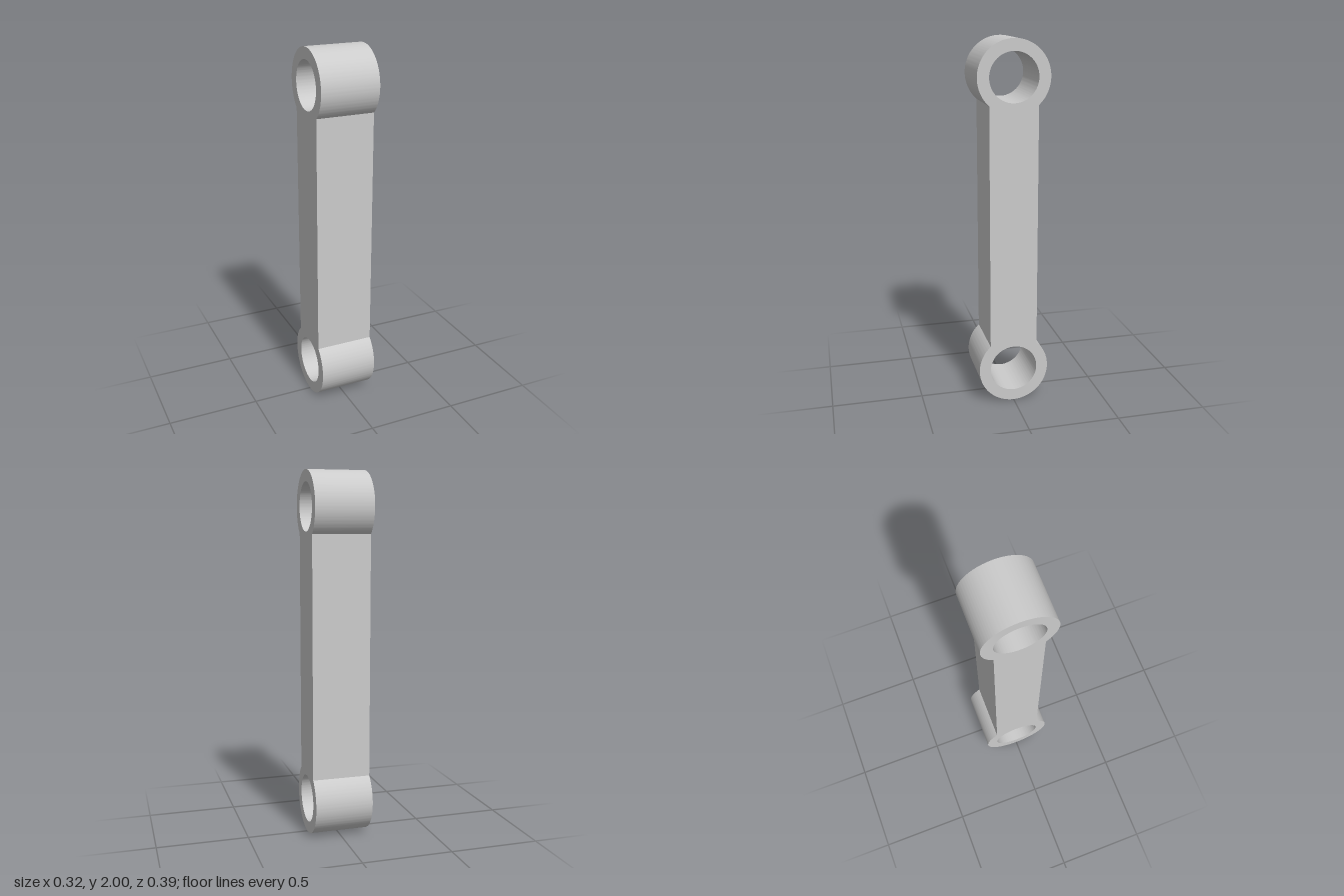
import * as THREE from 'three';
import { toCreasedNormals } from 'three/addons/utils/BufferGeometryUtils.js';

const EYE_R = 0.194;   // outer radius of each eye
const BORE_R = 0.131;  // radius of each bore
const BAR_HALF = 0.131; // half depth of the bar
const WIDTH = 0.322;
const LOW_Y = EYE_R;
const HIGH_Y = 2 - EYE_R;

export function createModel() {
  const group = new THREE.Group();
  group.name = 'connectingLink';

  // Side outline: two round eyes joined by a straight bar
  const a = Math.acos(BAR_HALF / EYE_R);
  const outline = new THREE.Shape();
  outline.absarc(0, LOW_Y, EYE_R, Math.PI - a, 2 * Math.PI + a, false);
  outline.absarc(0, HIGH_Y, EYE_R, -a, Math.PI + a, false);
  outline.closePath();

  // Through bores
  for (const y of [LOW_Y, HIGH_Y]) {
    const bore = new THREE.Path();
    bore.absarc(0, y, BORE_R, 0, Math.PI * 2, true);
    outline.holes.push(bore);
  }

  // Extrude across the width, then turn the bores to run along x
  const extruded = new THREE.ExtrudeGeometry(outline, {
    depth: WIDTH, bevelEnabled: false, curveSegments: 64,
  });
  extruded.translate(0, 0, -WIDTH / 2);
  extruded.rotateY(Math.PI / 2);

  const link = new THREE.Mesh(
    toCreasedNormals(extruded, 0.5),
    new THREE.MeshStandardMaterial({ color: 0xcccccc }),
  );
  link.name = 'linkBody';
  group.add(link);
  return group;
}
